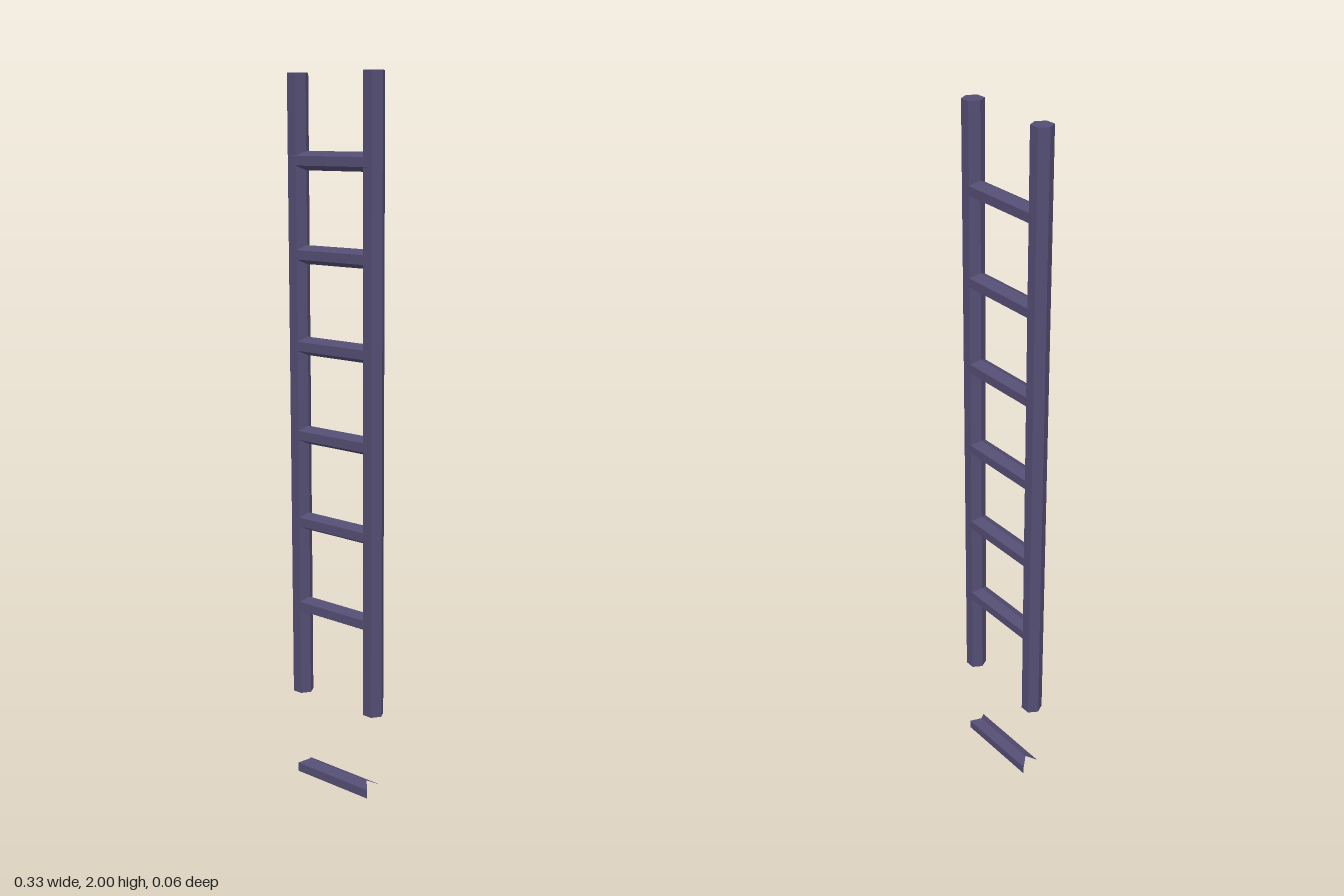
import * as THREE from 'three';

const LEAN = 0.0063; // forward drift of z per unit of height
const leanZ = (y) => -0.0075 + LEAN * y;

export function createModel() {
  const group = new THREE.Group();
  group.name = 'ladder';
  const material = new THREE.MeshStandardMaterial({ color: 0x544d73, flatShading: true });

  const add = (geometry, name) => {
    geometry.computeVertexNormals();
    const mesh = new THREE.Mesh(geometry, material);
    mesh.name = name;
    group.add(mesh);
  };

  // Hexagonal side rails, leaning very slightly forward
  const bottom = 0.26, top = 2;
  for (const side of [1, -1]) {
    const rail = new THREE.CylinderGeometry(0.0295, 0.0295, top - bottom, 6, 1, false, Math.PI / 2);
    rail.translate(side * 0.1345, (top + bottom) / 2, 0);
    const p = rail.attributes.position;
    for (let i = 0; i < p.count; i++) p.setZ(i, p.getZ(i) + leanZ(p.getY(i)));
    add(rail, side > 0 ? 'leftRail' : 'rightRail');
  }

  // Open hexagonal rungs: ridges stop at the rails, sides run into them.
  // The second step is missing and the lowest one hangs loose.
  for (let step = 0; step < 8; step++) {
    if (step === 1) continue;
    const y = 0.0255 + step * 0.2495;
    const rung = new THREE.CylinderGeometry(1, 1, 1, 6, 1, true, Math.PI / 6);
    rung.rotateZ(Math.PI / 2);
    rung.scale(1, 0.0255, 0.03);
    const p = rung.attributes.position;
    for (let i = 0; i < p.count; i++) {
      const ridge = Math.abs(p.getY(i)) > 0.02;
      p.setX(i, Math.sign(p.getX(i)) * (ridge ? 0.11 : 0.134));
    }
    rung.translate(0, y, leanZ(y));
    add(rung, step === 0 ? 'looseRung' : `rung${step - 1}`);
  }

  return group;
}
